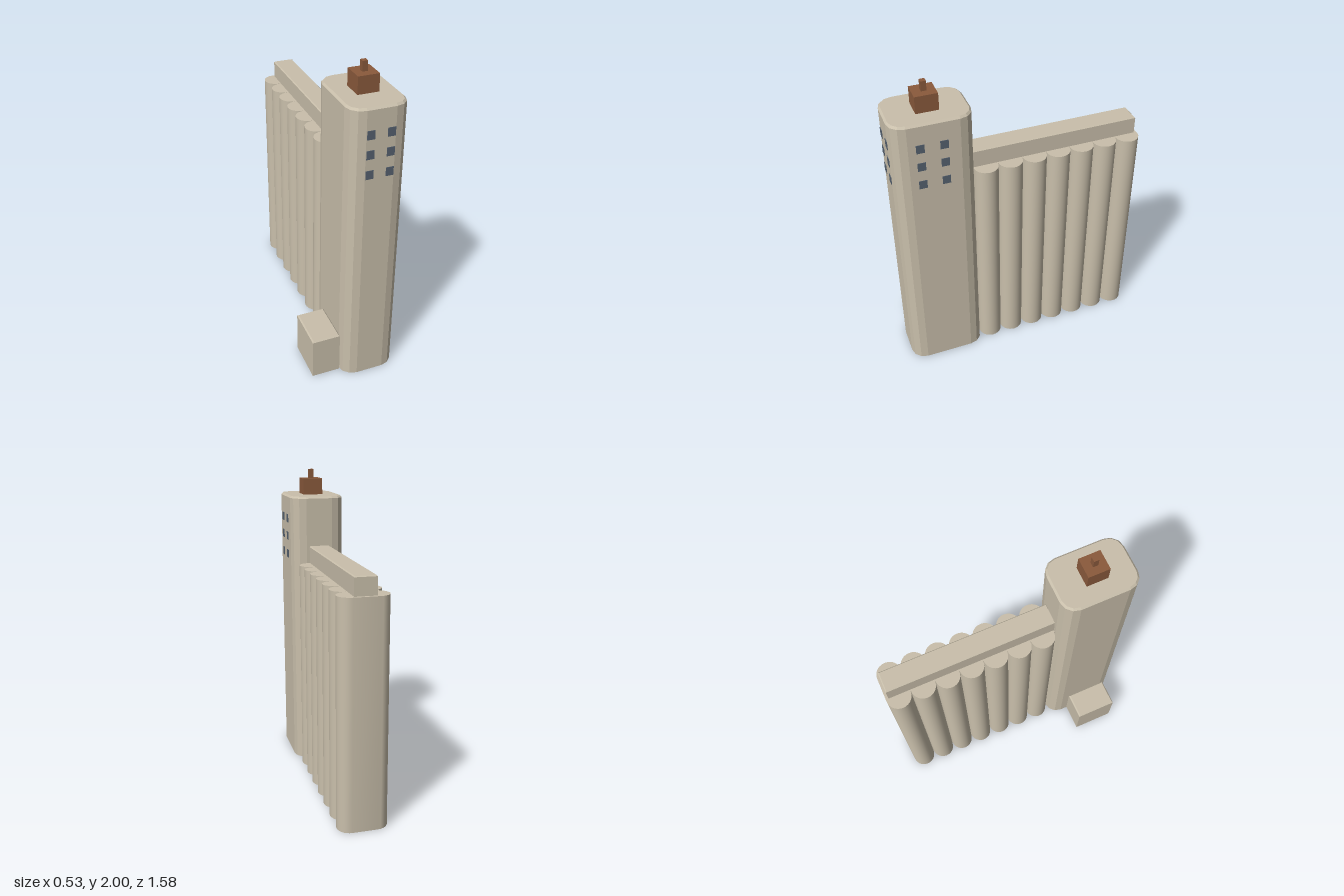
import * as THREE from 'three';
import { toCreasedNormals, mergeGeometries } from 'three/addons/utils/BufferGeometryUtils.js';

const concrete = new THREE.MeshStandardMaterial({ color: 0xc9bfab, side: THREE.DoubleSide });
concrete.name = 'concrete';
const brown = new THREE.MeshStandardMaterial({ color: 0x8a5a3c });
brown.name = 'brown';
const glass = new THREE.MeshStandardMaterial({ color: 0x566270 });
glass.name = 'window glass';

// Points of an arc in plan, where plan coordinates are (x, -z)
function arc(cx, cy, r, from, to, segments) {
  return Array.from({ length: segments + 1 }, (_, i) => {
    const a = THREE.MathUtils.degToRad(from + (to - from) * i / segments);
    return new THREE.Vector2(cx + r * Math.cos(a), cy + r * Math.sin(a));
  });
}

// Rectangle in plan with rounded corners (r = 0 gives plain corners)
function rectangle(x0, x1, z0, z1, r = 0, segments = 3) {
  const corner = (x, z, from) => r > 0 ? arc(x, -z, r, from, from + 90, segments) : [new THREE.Vector2(x, -z)];
  return [
    ...corner(x1 - r, z1 - r, -90), ...corner(x1 - r, z0 + r, 0),
    ...corner(x0 + r, z0 + r, 90), ...corner(x0 + r, z1 - r, 180),
  ];
}

// Hollow shell through stacked outlines, closed at the top and open below
function shell(rings, crease) {
  const pos = [];
  for (let k = 0; k + 1 < rings.length; k++) {
    const lo = rings[k], hi = rings[k + 1], n = lo.points.length;
    for (let i = 0; i < n; i++) {
      const j = (i + 1) % n;
      const at = (ring, m) => [ring.points[m].x, ring.y, -ring.points[m].y];
      const a = at(lo, i), b = at(lo, j), c = at(hi, j), d = at(hi, i);
      pos.push(...a, ...b, ...c, ...a, ...c, ...d);
    }
  }
  const walls = new THREE.BufferGeometry();
  walls.setAttribute('position', new THREE.Float32BufferAttribute(pos, 3));
  const top = rings[rings.length - 1];
  const cap = new THREE.ShapeGeometry(new THREE.Shape(top.points)).toNonIndexed();
  cap.deleteAttribute('uv');
  cap.rotateX(-Math.PI / 2).translate(0, top.y, 0);
  return mergeGeometries([toCreasedNormals(walls, crease), cap]);
}

// Block with a small chamfer round its top
function chamfered(x0, x1, z0, z1, y0, y1, bevel, r = 0) {
  const body = rectangle(x0, x1, z0, z1, r);
  const lid = rectangle(x0 + bevel, x1 - bevel, z0 + bevel, z1 - bevel, r && r - bevel);
  return shell([{ points: body, y: y0 }, { points: body, y: y1 - bevel }, { points: lid, y: y1 }], 0.1);
}

function box(x0, x1, y0, y1, z0, z1) {
  return new THREE.BoxGeometry(x1 - x0, y1 - y0, z1 - z0)
    .translate((x0 + x1) / 2, (y0 + y1) / 2, (z0 + z1) / 2);
}

export function createModel() {
  const model = new THREE.Group();
  model.name = 'grainElevator';
  const add = (name, geometry, material) => {
    const mesh = new THREE.Mesh(geometry, material);
    mesh.name = name;
    model.add(mesh);
    return mesh;
  };

  // Tall head house with rounded corners, and the low annex on its right
  add('tower', chamfered(-0.09, 0.262, 0.3, 0.785, 0, 1.835, 0.012, 0.09), concrete);
  add('annex', chamfered(-0.27, -0.09, 0.44, 0.715, 0, 0.28, 0.008), concrete);

  // Double row of seven silos as one scalloped shell
  const centres = Array.from({ length: 7 }, (_, i) => 0.712 - 0.155 * i);
  const scallops = [
    ...[...centres].reverse().flatMap(c => arc(0.163, c, 0.076, -90, 90, 14)),
    ...centres.flatMap(c => arc(0.008, c, 0.076, 90, 270, 14)),
  ];
  add('silos', shell([{ points: scallops, y: 0 }, { points: scallops, y: 1.4 }], 0.6), concrete);

  // Floor between the silo rows, and the link to the tower
  add('siloCore', box(0.01, 0.161, 0.001, 1.398, -0.785, 0.31), concrete);

  // Conveyor gallery along the silo tops
  add('gallery', chamfered(0.02, 0.153, -0.77, 0.305, 1.395, 1.512, 0.006), concrete);

  // Machine housing and vent on the roof
  add('roofHousing', box(0.022, 0.15, 1.835, 1.94, 0.475, 0.61), brown);
  add('roofVent', box(0.07, 0.102, 1.94, 2, 0.526, 0.558), brown);

  // Windows on the front and left faces
  const windows = new THREE.Group();
  windows.name = 'windows';
  for (const y of [1.44, 1.562, 1.68]) {
    for (const side of [-1, 1]) {
      const front = new THREE.Mesh(new THREE.BoxGeometry(0.046, 0.053, 0.006), glass);
      front.name = 'frontWindow';
      front.position.set(0.087 + side * 0.06, y, 0.785);
      const left = new THREE.Mesh(new THREE.BoxGeometry(0.006, 0.053, 0.048), glass);
      left.name = 'leftWindow';
      left.position.set(0.262, y, 0.556 + side * 0.069);
      windows.add(front, left);
    }
  }
  model.add(windows);
  return model;
}
